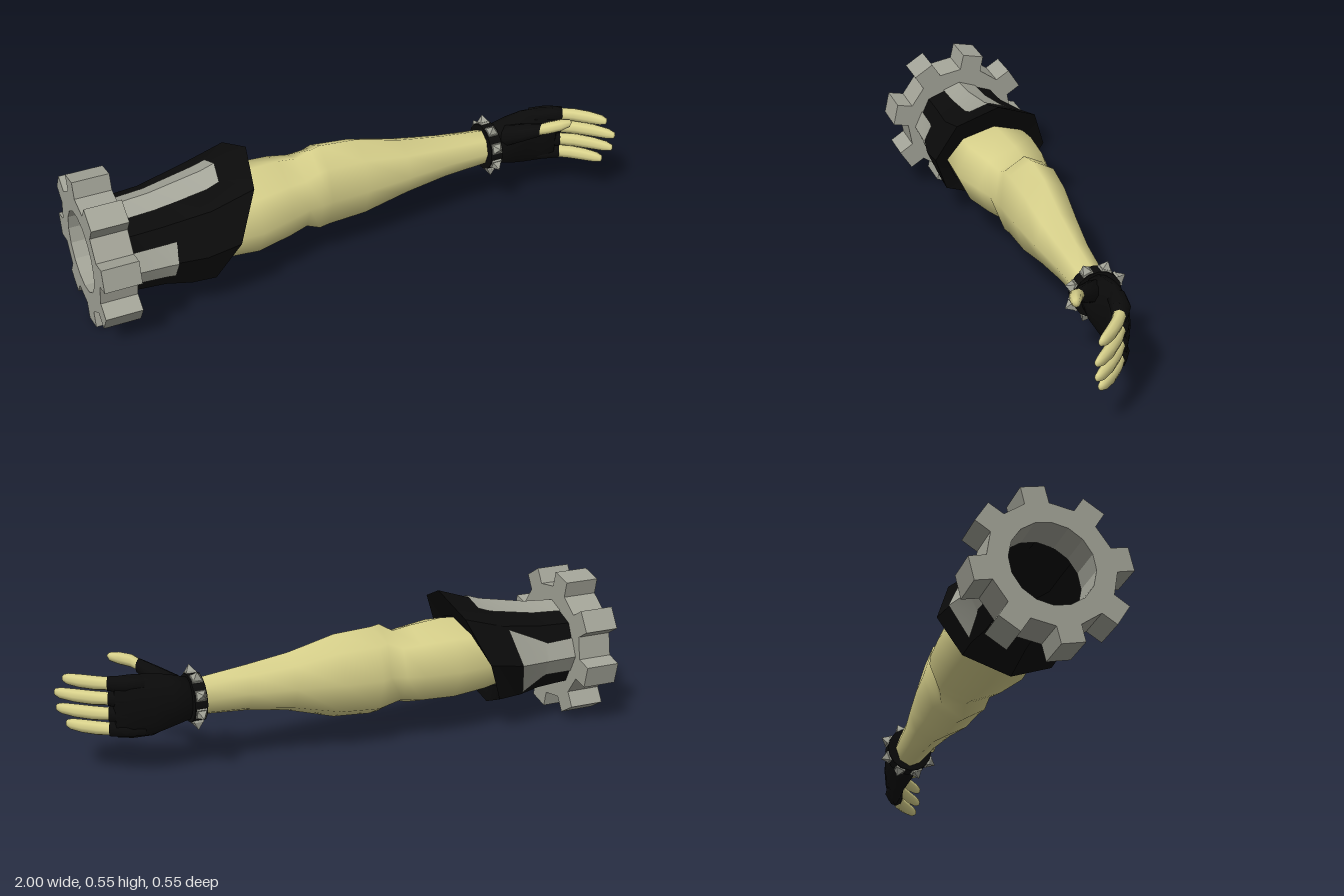
import * as THREE from 'three';
import { mergeVertices, toCreasedNormals } from 'three/addons/utils/BufferGeometryUtils.js';

const mat = (color, side = THREE.FrontSide) => new THREE.MeshStandardMaterial({ color, side });
const skin = mat(0xd9d28c);
const black = mat(0x0b0b0b);
const blackCloth = mat(0x0b0b0b, THREE.DoubleSide);
const metal = mat(0xa3a498);
const metalSheet = mat(0xa3a498, THREE.DoubleSide);

const CY = 0.275; // height of the arm's axis

// Point on a ring [x, y, z, ry, rw, lean]; t counts polygon corners, fractions lie on the chords.
function ringPoint(ring, t, sides, dir) {
  const [x, y, z, ry, rw, lean = 0] = ring;
  const corner = (k) => {
    const a = (k / sides) * Math.PI * 2, c = Math.cos(a) * rw, s = Math.sin(a);
    return new THREE.Vector3(x - dir.z * c + lean * s, y + s * ry, z + dir.x * c);
  };
  const k = Math.floor(t);
  return corner(k).lerp(corner(k + 1), t - k);
}

// Skin over a row of rings. bend: rings turn with the path; span(i): corner positions used on ring i.
function loft(rings, { sides = 8, bend = false, span = null, crease = 0 } = {}) {
  const full = Array.from({ length: sides + 1 }, (_, i) => i);
  const pos = [], index = [];
  let n = 0;
  rings.forEach((r, i) => {
    const a = rings[Math.max(i - 1, 0)], b = rings[Math.min(i + 1, rings.length - 1)];
    const dir = bend ? new THREE.Vector3(b[0] - a[0], 0, b[2] - a[2]).normalize() : new THREE.Vector3(1, 0, 0);
    const ts = span ? span(i) : full;
    n = ts.length;
    ts.forEach((t) => pos.push(...ringPoint(r, t, sides, dir).toArray()));
  });
  for (let i = 0; i < rings.length - 1; i++) {
    for (let j = 0; j < n - 1; j++) {
      const a = i * n + j, b = a + n;
      index.push(a, b, a + 1, b, b + 1, a + 1);
    }
  }
  let g = new THREE.BufferGeometry();
  g.setAttribute('position', new THREE.Float32BufferAttribute(pos, 3));
  g.setIndex(index);
  g = mergeVertices(g, 1e-5);
  g.computeVertexNormals();
  return crease ? toCreasedNormals(g, crease) : g;
}

function add(parent, name, geometry, material) {
  const m = new THREE.Mesh(geometry, material);
  m.name = name;
  parent.add(m);
  return m;
}

// Eight-toothed gear with an open bore
function gearGeometry() {
  const shape = new THREE.Shape();
  const at = (r, a) => new THREE.Vector2(Math.cos(a) * r, Math.sin(a) * r);
  const pts = [];
  for (let i = 0; i < 8; i++) {
    const a = THREE.MathUtils.degToRad(77 + i * 45), h = Math.PI / 16;
    pts.push(at(0.215, a - h), at(0.274, a - 0.152), at(0.274, a + 0.152), at(0.215, a + h));
  }
  shape.setFromPoints(pts);
  const hole = [];
  for (let i = 0; i < 16; i++) hole.push(at(0.145, (-i / 16) * Math.PI * 2));
  shape.holes.push(new THREE.Path(hole));
  return new THREE.ExtrudeGeometry(shape, { depth: 0.13, bevelEnabled: false });
}

// Sleeve rings from the gear to the slanted cuff
const sleeveRings = [
  [-0.875, 0.27, 0, 0.16, 0.18, 0],
  [-0.75, 0.27, 0, 0.17, 0.185, 0],
  [-0.62, 0.281, 0, 0.196, 0.215, 0.06],
  [-0.5, 0.302, 0, 0.233, 0.217, 0.107],
];

// Sleeve ring at a fractional position, lifted slightly off the cloth
function liftedRing(u) {
  const i = Math.min(Math.floor(u), 2), f = u - i;
  const r = sleeveRings[i].map((v, k) => v + (sleeveRings[i + 1][k] - v) * f);
  r[3] += 0.006;
  r[4] += 0.006;
  return r;
}

// Metal plate on the sleeve: centre corner, and [position, half width] rows
const plate = (corner, rows) => loft(rows.map(([u]) => liftedRing(u)), {
  span: (i) => [corner - rows[i][1], corner, corner + rows[i][1]],
  crease: 0.5,
});

export function createModel() {
  const model = new THREE.Group();
  model.name = 'mechanicalShoulderArm';

  const gear = add(model, 'shoulderGear', gearGeometry(), metal);
  gear.rotation.y = Math.PI / 2;
  gear.position.set(-1, CY, 0);

  // Sleeve, with the cuff turned inwards to the arm
  add(model, 'sleeve', loft([...sleeveRings, [-0.53, 0.282, 0, 0.15, 0.162, 0.08]], { crease: 0.7 }), blackCloth);
  add(model, 'topPlate', plate(2, [[0, 0.5], [1, 0.5], [2, 0.48], [2.3, 0.46]]), metalSheet);
  add(model, 'frontPlate', plate(8, [[0, 0.55], [1, 0.55], [1.25, 0.54]]), metalSheet);
  add(model, 'backPlate', plate(4, [[0, 0.55], [0.9, 0.5], [1, 0.55], [1.9, 0.9]]), metalSheet);

  // Upper arm, elbow crease and forearm
  add(model, 'arm', loft([
    [-0.66, 0.278, 0, 0.12, 0.14],
    [-0.53, 0.278, -0.004, 0.142, 0.164],
    [-0.4, 0.278, -0.007, 0.154, 0.173],
    [-0.27, 0.278, -0.02, 0.148, 0.147],
    [-0.2, 0.28, -0.022, 0.136, 0.128],
    [-0.15, 0.278, -0.012, 0.167, 0.112],
    [-0.11, 0.278, -0.025, 0.166, 0.12],
    [0.03, 0.278, -0.02, 0.157, 0.11],
    [0.2, 0.28, -0.012, 0.11, 0.09],
    [0.36, 0.28, -0.006, 0.085, 0.068],
    [0.54, 0.275, -0.004, 0.068, 0.056],
  ]), skin);

  // Studded wristband
  const wrist = new THREE.Group();
  wrist.name = 'wristband';
  wrist.position.set(0.55, CY, -0.005);
  model.add(wrist);
  const band = add(wrist, 'band', new THREE.CylinderGeometry(0.086, 0.086, 0.046, 16), black);
  band.rotation.z = Math.PI / 2;
  for (let i = 0; i < 8; i++) {
    const stud = new THREE.Group();
    stud.name = 'stud';
    stud.rotation.x = ((i + 0.5) / 8) * Math.PI * 2;
    wrist.add(stud);
    add(stud, 'studBase', new THREE.BoxGeometry(0.036, 0.008, 0.038), metal).position.y = 0.086;
    const cone = new THREE.ConeGeometry(0.024, 0.028, 4, 1).rotateY(Math.PI / 4).toNonIndexed();
    cone.computeVertexNormals();
    add(stud, 'spike', cone, metal).position.y = 0.102;
  }

  // Fingerless glove
  add(model, 'glovePalm', loft([
    [0.56, CY, -0.005, 0, 0],
    [0.565, CY, -0.005, 0.075, 0.06],
    [0.64, CY, -0.003, 0.098, 0.062],
    [0.7, 0.272, -0.006, 0.114, 0.05],
    [0.77, 0.272, 0.006, 0.117, 0.042],
    [0.82, 0.272, 0.022, 0.112, 0.032],
    [0.83, 0.272, 0.027, 0, 0],
  ], { sides: 12, bend: true }), black);

  // Four fingers, each leaving a glove tube: [height, reach]
  [[0.357, 0.95], [0.302, 1.12], [0.246, 1.1], [0.191, 0.93]].forEach(([y, reach]) => {
    add(model, 'gloveFinger', loft([
      [0.71, y, -0.006, 0, 0],
      [0.73, y, -0.005, 0.027, 0.032],
      [0.79, y, 0.008, 0.029, 0.034],
      [0.842, y, 0.031, 0.027, 0.026],
      [0.843, y, 0.032, 0, 0],
    ], { bend: true }), black);
    const at = (dx, dz, ry, rw) => [0.82 + dx * reach, y, 0.021 + dz * reach, ry, rw];
    add(model, 'finger', loft([
      at(0, 0, 0.023, 0.022),
      at(0.06, 0.037, 0.026, 0.021),
      at(0.105, 0.077, 0.025, 0.02),
      at(0.138, 0.113, 0.021, 0.016),
      at(0.151, 0.131, 0.013, 0.01),
      at(0.154, 0.135, 0, 0),
    ], { bend: true }), skin);
  });

  // Thumb
  add(model, 'gloveThumb', loft([
    [0.59, 0.31, 0.0, 0, 0],
    [0.61, 0.315, 0.02, 0.045, 0.04],
    [0.66, 0.345, 0.07, 0.036, 0.034],
    [0.705, 0.373, 0.116, 0.026, 0.025],
    [0.707, 0.374, 0.118, 0, 0],
  ], { bend: true }), black);
  add(model, 'thumb', loft([
    [0.69, 0.368, 0.104, 0.021, 0.02],
    [0.725, 0.388, 0.134, 0.024, 0.022],
    [0.765, 0.398, 0.15, 0.023, 0.02],
    [0.796, 0.405, 0.16, 0.015, 0.013],
    [0.804, 0.408, 0.163, 0, 0],
  ], { bend: true }), skin);

  return model;
}
